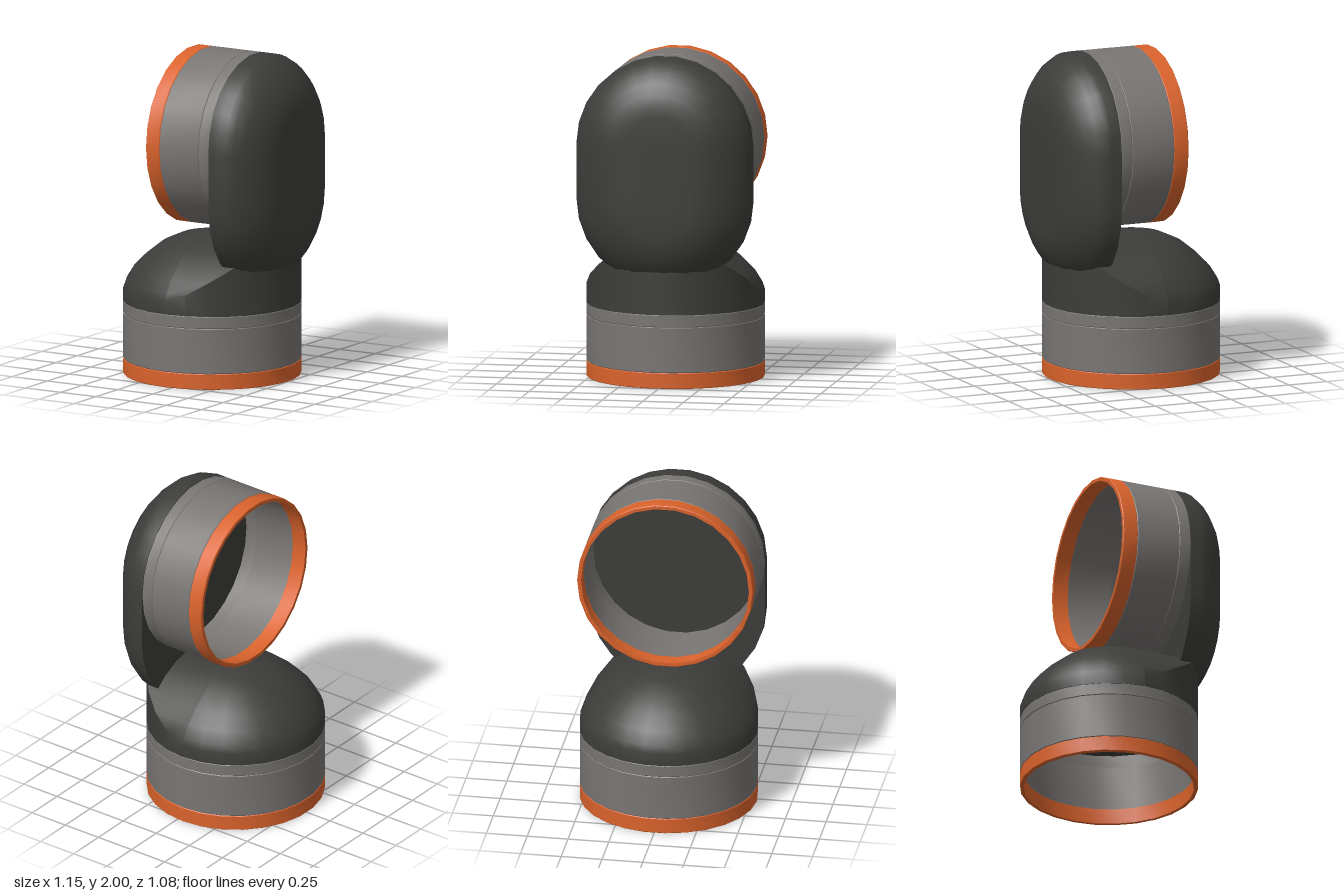
import * as THREE from 'three';
import { toCreasedNormals } from 'three/addons/utils/BufferGeometryUtils.js';

const R = 0.54;        // tube radius
const HALF = 13;       // segments per half turn
const LOW_X = -0.04;   // axis of the lower tube
const HIGH_Y = 1.464;  // axis of the upper tube
const BACK_X = 0.265;  // back plane of the upper cap
const TUBE = 0.45;     // tube length

const mat = (color) => new THREE.MeshStandardMaterial({ color, side: THREE.DoubleSide });
const dark = mat(0x3c3c3a), grey = mat(0x787573), orange = mat(0xd9622b);

function part(name, geometry, material) {
  const mesh = new THREE.Mesh(toCreasedNormals(geometry, 0.6), material);
  mesh.name = name;
  return mesh;
}

function lathe(points, start = 0, length = Math.PI * 2) {
  const segments = Math.round((HALF * length) / Math.PI);
  return new THREE.LatheGeometry(points.map(([r, y]) => new THREE.Vector2(r, y)), segments, start, length);
}

// Surface through equal rows of points
function grid(rows) {
  const n = rows[0].length, index = [];
  for (let i = 0; i < rows.length - 1; i++) {
    for (let j = 0; j < n - 1; j++) {
      const a = i * n + j, d = a + n;
      index.push(a, a + 1, d + 1, a, d + 1, d);
    }
  }
  const geometry = new THREE.BufferGeometry();
  geometry.setAttribute('position', new THREE.Float32BufferAttribute(rows.flat(2), 3));
  geometry.setIndex(index);
  return geometry;
}

// Hollow band with slightly bevelled outer edges
function band(name, y0, y1, material) {
  const inner = R - 0.025, b = 0.004;
  return part(name, lathe([
    [inner, y0], [R - b, y0], [R, y0 + b], [R, y1 - b], [R - b, y1], [inner, y1], [inner, y0],
  ]), material);
}

// Open tube: coloured rim, main sleeve and narrow collar
function tube(name) {
  const group = new THREE.Group();
  group.name = name;
  group.add(
    band('rimBand', 0, 0.096, orange),
    band('sleeve', 0.096, 0.375, grey),
    band('collar', 0.375, TUBE, grey),
  );
  return group;
}

// Lower dome: half revolved, half extruded along x and trimmed by the tube wall
function lowerDome() {
  const group = new THREE.Group();
  group.name = 'lowerDome';
  const heights = [0.53, 0.575, 0.65, 0.725, 0.803, 0.855, 0.878]; // wall to crown
  const step = Math.PI / HALF;

  const profile = [[R, TUBE], ...heights.map((h, k) => [R * Math.cos(k * step), h]), [0, 0.88]];
  group.add(part('roundedDomeHalf', lathe(profile, Math.PI, Math.PI), dark));

  const rows = [];
  for (let j = 0; j <= HALF; j++) {
    const h = heights[Math.min(j, HALF - j)];
    const x = R * Math.sin(j * step), z = R * Math.cos(j * step);
    rows.push([[0, h, z], [x, h, z], [x, TUBE, z]]);
  }
  group.add(part('trimmedDomeHalf', grid(rows), dark));

  // Floor closing the tube from inside
  group.add(part('lowerFloor', lathe([[0, TUBE], [R - 0.002, TUBE]]), dark));
  return group;
}

// Upper cap: stadium outline, rounded towards its outer face
function upperCap() {
  const lowY = 1.13;
  const profile = [ // x, inset
    [BACK_X, R], [BACK_X, 0], [0.33, 0], [0.37, 0.01], [0.42, 0.038], [0.47, 0.085],
    [0.51, 0.135], [0.545, 0.2], [0.565, 0.27], [0.571, 0.33], [0.571, R],
  ];
  const rows = profile.map(([x, inset]) => {
    const r = R - inset, row = [];
    for (const [cy, start] of [[HIGH_Y, -Math.PI / 2], [lowY, Math.PI / 2]]) {
      for (let k = 0; k <= HALF; k++) {
        const t = start + (k * Math.PI) / HALF;
        row.push([x, cy + r * Math.cos(t), r * Math.sin(t)]);
      }
    }
    row.push(row[0]);
    return row;
  });
  return part('upperCap', grid(rows), dark);
}

export function createModel() {
  const model = new THREE.Group();
  model.name = 'elbowJoint';

  const lower = tube('lowerTube');
  lower.add(lowerDome());
  lower.position.x = LOW_X;

  const upper = tube('upperTube');
  upper.rotation.z = -Math.PI / 2;
  upper.position.set(BACK_X - TUBE, HIGH_Y, 0);
  upper.scale.y = 0.99;
  upper.position.x += TUBE * 0.01;

  model.add(lower, upper, upperCap());
  return model;
}
